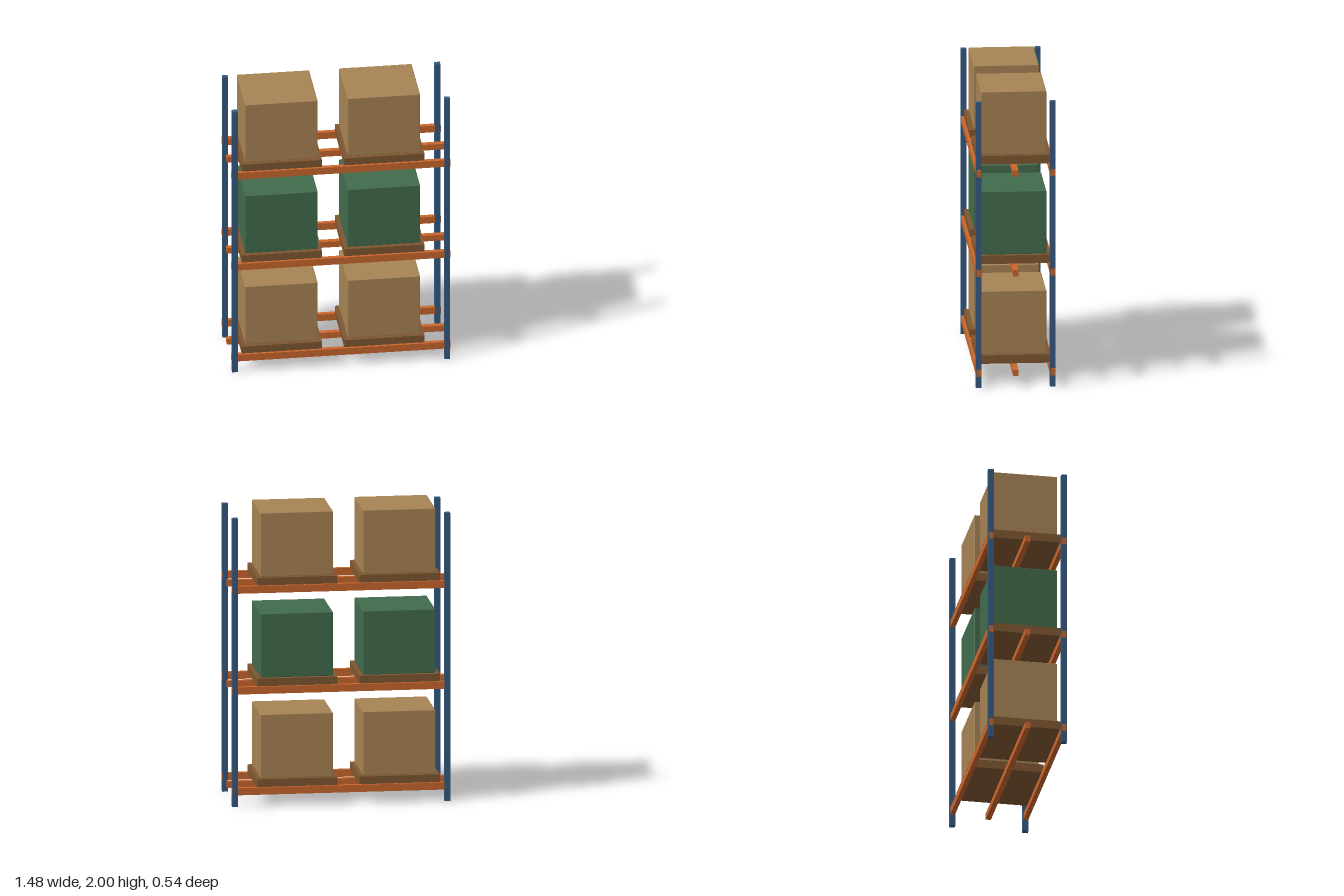
import * as THREE from 'three';
import { RoundedBoxGeometry } from 'three/addons/geometries/RoundedBoxGeometry.js';

const material = (name, color) => {
  const m = new THREE.MeshStandardMaterial({ color });
  m.name = name;
  return m;
};

export function createModel() {
  const blue = material('post blue', 0x345981);
  const orange = material('beam orange', 0xca662c);
  const wood = material('pallet wood', 0x7f5730);
  const card = material('cardboard', 0xa78354);
  const green = material('crate green', 0x416b4c);

  const rack = new THREE.Group();
  rack.name = 'palletRack';

  const add = (name, geometry, mat, x, y, z) => {
    const mesh = new THREE.Mesh(geometry, mat);
    mesh.name = name;
    mesh.position.set(x, y, z);
    rack.add(mesh);
  };

  // Four uprights
  const post = new THREE.BoxGeometry(0.038, 1.976, 0.038);
  for (const x of [-0.718, 0.718])
    for (const z of [-0.249, 0.249]) add('post', post, blue, x, 0.988, z);

  const sideBeam = new THREE.BoxGeometry(1.48, 0.049, 0.032);
  const middleBeam = new THREE.BoxGeometry(1.48, 0.043, 0.036);
  const pallet = new THREE.BoxGeometry(0.542, 0.058, 0.494);
  const cargo = new RoundedBoxGeometry(0.49, 0.438, 0.438, 1, 0.005);

  // Three levels: beams, then two loaded pallets on each
  [0.079, 0.77, 1.461].forEach((y, level) => {
    for (const z of [-0.249, 0.249]) add('sideBeam', sideBeam, orange, 0, y + 0.0245, z);
    add('middleBeam', middleBeam, orange, 0, y + 0.0215, 0);
    for (const x of [-0.398, 0.295]) {
      add('pallet', pallet, wood, x, y + 0.072, 0);
      add('cargoBox', cargo, level === 1 ? green : card, x, y + 0.32, 0);
    }
  });

  return rack;
}
